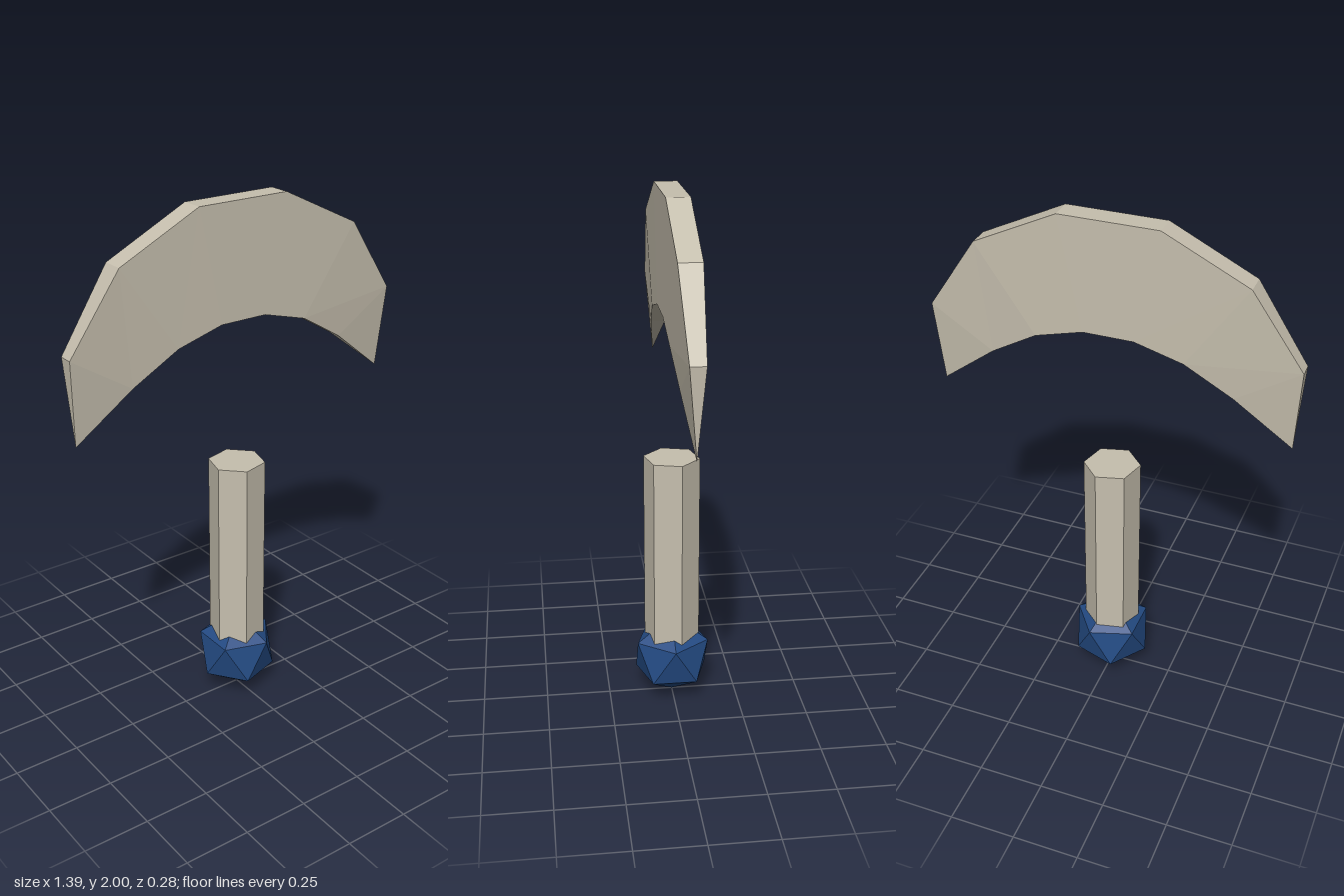
import * as THREE from 'three';

const bone = new THREE.MeshStandardMaterial({ name: 'bone', color: 0xc6bfae, flatShading: true });
const navy = new THREE.MeshStandardMaterial({ name: 'navy', color: 0x234a82, flatShading: true });

// Crescent: quads lofted between four-cornered cross-sections, tapering to a point at each tip
function crescentGeometry() {
  // outer x, outer y, inner x, inner y, half thickness; from the middle to the tip
  const half = [
    [0.185, 2.0, 0.095, 1.568, 0.043],
    [0.502, 1.845, 0.278, 1.517, 0.042],
    [0.695, 1.56, 0.458, 1.408, 0.028],
    [0.676, 1.235, 0.676, 1.235, 0],
  ];
  const mirrored = half.map(([ox, oy, ix, iy, t]) => [-ox, oy, -ix, iy, t]).reverse();
  const rings = [...mirrored, ...half].map(([ox, oy, ix, iy, t]) => [
    new THREE.Vector3(ox, oy, t),
    new THREE.Vector3(ox, oy, -t),
    new THREE.Vector3(ix, iy, -t),
    new THREE.Vector3(ix, iy, t),
  ]);
  const points = [];
  const addTriangle = (a, b, c) => {
    if (new THREE.Triangle(a, b, c).getArea() > 1e-6) points.push(a, b, c);
  };
  for (let i = 0; i < rings.length - 1; i++) {
    const a = rings[i], b = rings[i + 1];
    for (let k = 0; k < 4; k++) {
      const n = (k + 1) % 4;
      addTriangle(a[k], b[k], b[n]);
      addTriangle(a[k], b[n], a[n]);
    }
  }
  const geometry = new THREE.BufferGeometry().setFromPoints(points);
  geometry.computeVertexNormals();
  return geometry;
}

export function createModel() {
  const group = new THREE.Group();
  const add = (name, geometry, material) => {
    const mesh = new THREE.Mesh(geometry, material);
    mesh.name = name;
    group.add(mesh);
    return mesh;
  };

  // Floating crescent blade
  add('crescentBlade', crescentGeometry(), bone);

  // Six-sided handle, seated in the pommel
  const handle = add('handle', new THREE.CylinderGeometry(0.108, 0.108, 0.83, 6), bone);
  handle.position.y = 0.585;
  handle.rotation.y = Math.PI / 4;

  // Faceted pommel gem standing on one corner
  const gem = new THREE.IcosahedronGeometry(0.163, 0);
  gem.rotateX(-Math.atan((1 + Math.sqrt(5)) / 2));
  gem.rotateY(Math.PI / 2);
  add('pommelGem', gem, navy).position.y = 0.166;

  return group;
}
